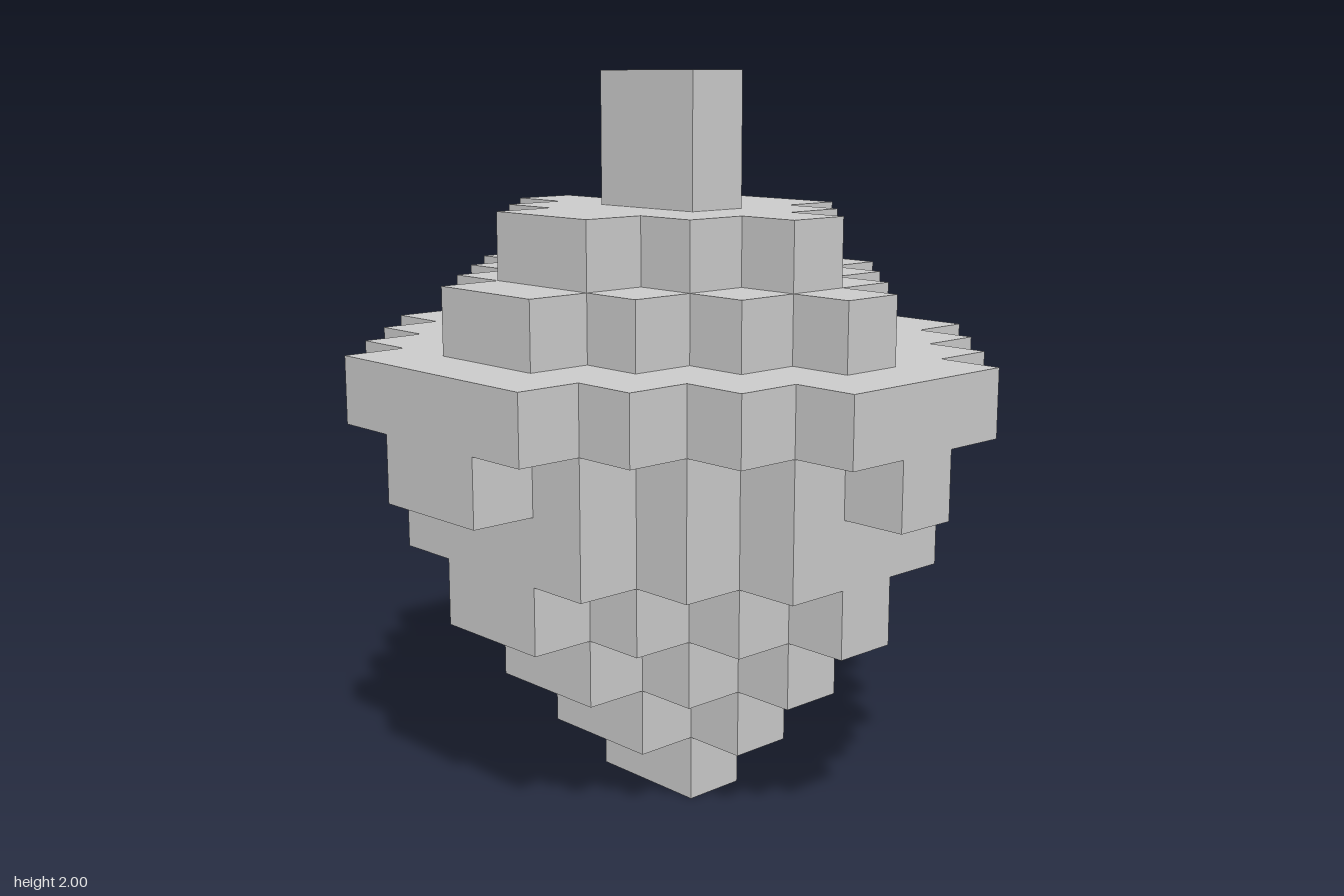
import * as THREE from 'three';

const U = 2 / 11; // one block of the grid

// Stepped diamond outline: corners satisfy x + z = sum, clipped at maxX / maxZ.
function steppedDiamond(sum, maxX, maxZ) {
  const quarter = [];
  const lastX = Math.max(0.5, sum - maxZ);
  for (let x = Math.min(sum - 1, maxX); x >= lastX; x--) {
    quarter.push([x, sum - x]);
    if (x > lastX) quarter.push([x - 1, sum - x]);
  }
  const mirror = (sx, sz) => quarter.map(([x, z]) => [x * sx, z * sz]);
  const outline = [
    ...quarter,
    ...mirror(-1, 1).reverse(),
    ...mirror(-1, -1),
    ...mirror(1, -1).reverse(),
  ];
  return new THREE.Shape(outline.map(([x, z]) => new THREE.Vector2(x * U, z * U)));
}

export function createModel() {
  const model = new THREE.Group();
  model.name = 'blockOrnament';
  const material = new THREE.MeshStandardMaterial({ color: 0xcccccc, flatShading: true });

  // Tiers from bottom to top: name, diamond sum, clip in x, clip in z
  const tiers = [
    ['bottomTip', 1.5, 9, 9],
    ['lowerTier1', 2.5, 9, 9],
    ['lowerTier2', 3.5, 9, 9],
    ['lowerTier3', 4.5, 9, 9],
    ['bodyLower', 5.5, 3.5, 4],
    ['bodyUpper', 5.5, 9, 9],
    ['wideRim', 6.5, 4.5, 5],
    ['upperTier1', 4.5, 9, 9],
    ['upperTier2', 3.5, 9, 9],
  ];
  tiers.forEach(([name, sum, maxX, maxZ], level) => {
    const geometry = new THREE.ExtrudeGeometry(steppedDiamond(sum, maxX, maxZ), {
      depth: U,
      bevelEnabled: false,
    });
    geometry.rotateX(-Math.PI / 2);
    const tier = new THREE.Mesh(geometry, material);
    tier.name = name;
    tier.position.y = level * U;
    model.add(tier);
  });

  // Stem on top
  const stem = new THREE.Mesh(new THREE.BoxGeometry(U, 2 * U, 2 * U), material);
  stem.name = 'stem';
  stem.position.y = 10 * U;
  model.add(stem);

  return model;
}
